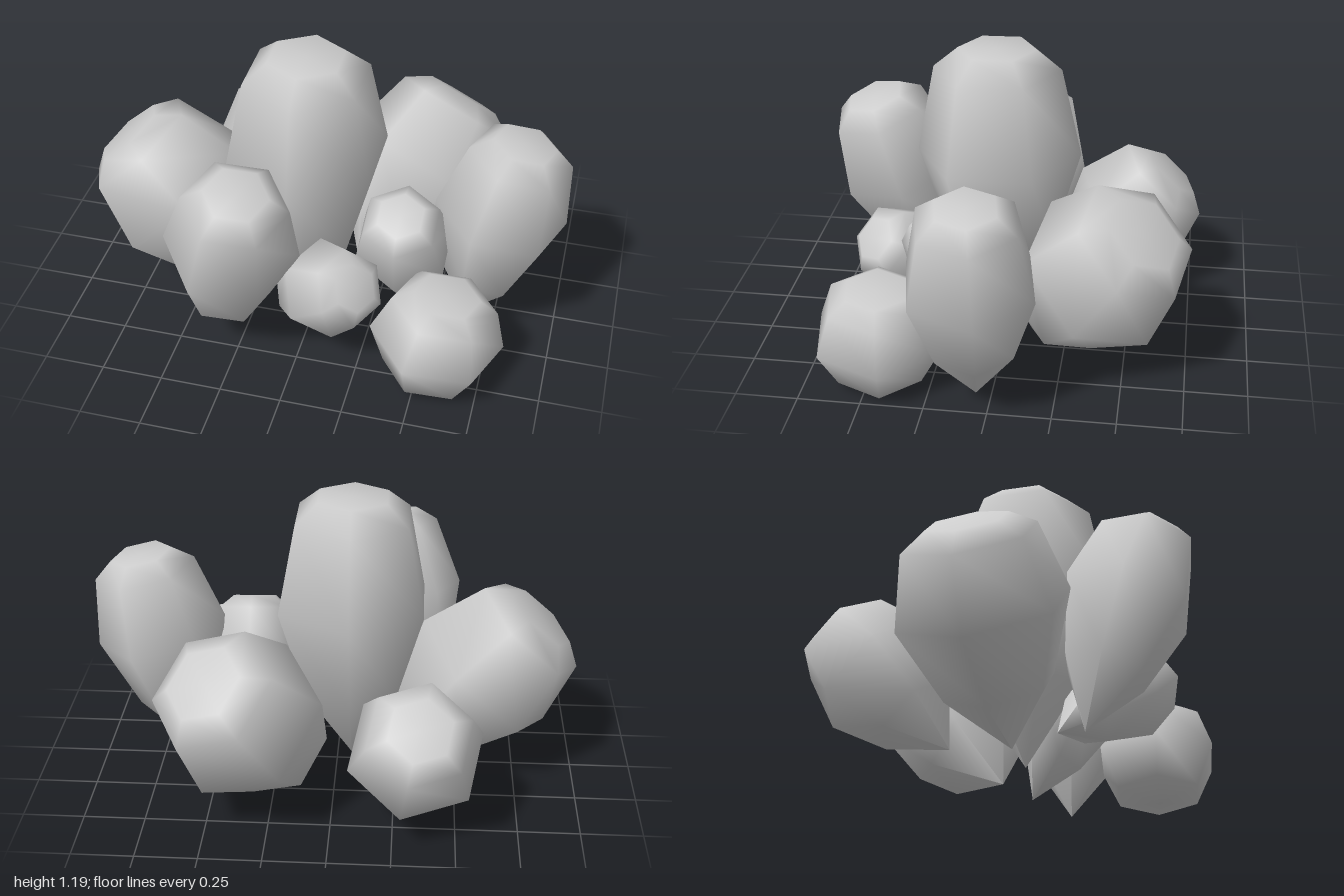
import * as THREE from 'three';

// Bulb profiles: [share of max radius, share of length], foot to flat tip
const POINTED = [[0, 0], [0.64, 0.28], [1, 0.62], [0.77, 0.93], [0.47, 1], [0, 1]];
const SQUAT = [[0, 0], [0.7, 0.08], [1, 0.48], [0.78, 0.88], [0.49, 1], [0, 1]];

// Each lobe: foot point, centre of the tip, largest radius, roll in degrees
const LOBES = [
  { name: 'centreLobe', foot: [-0.06, 0, 0.05], tip: [-0.06, 1.19, 0.07], radius: 0.34, roll: 0 },
  { name: 'rightLobe', foot: [-0.25, 0.01, 0.05], tip: [-0.84, 0.68, 0.05], radius: 0.345, roll: 30 },
  { name: 'frontRightLobe', foot: [-0.35, 0.01, 0.36], tip: [-0.19, 0.9, 0.61], radius: 0.27, roll: -21 },
  { name: 'leftLobe', foot: [0.63, 0.01, 0.06], tip: [0.81, 0.92, 0.06], radius: 0.27, roll: -19 },
  { name: 'frontLeftLobe', foot: [0.54, 0.01, 0.46], tip: [0.6, 0.43, 0.45], radius: 0.27, roll: -20, profile: SQUAT },
  { name: 'smallFrontLobe', foot: [-0.14, 0.1, 0.2], tip: [0.25, 0.46, 0.53], radius: 0.2, roll: 34 },
  { name: 'smallLeftLobe', foot: [0.36, 0.01, -0.04], tip: [0.37, 0.64, 0.27], radius: 0.21, roll: 0 },
  { name: 'backLeftLobe', foot: [0.13, 0.01, -0.1], tip: [0.475, 0.68, -0.567], radius: 0.34, roll: 23.6 },
  { name: 'backRightLobe', foot: [-0.31, 0.01, -0.18], tip: [-0.35, 0.55, -0.65], radius: 0.28, roll: -10 },
];

const UP = new THREE.Vector3(0, 1, 0);

// Six-sided smooth bulb, leaning from its foot towards its tip
function makeLobe({ name, foot, tip, radius, roll, profile = POINTED }, material) {
  const start = new THREE.Vector3(...foot);
  const axis = new THREE.Vector3(...tip).sub(start);
  const length = axis.length();
  const points = profile.map(([r, t]) => new THREE.Vector2(r * radius, t * length));
  const geometry = new THREE.LatheGeometry(points, 6);
  geometry.rotateY(THREE.MathUtils.degToRad(roll));
  const lobe = new THREE.Mesh(geometry, material);
  lobe.name = name;
  lobe.position.copy(start);
  lobe.quaternion.setFromUnitVectors(UP, axis.normalize());
  return lobe;
}

export function createModel() {
  const model = new THREE.Group();
  model.name = 'succulentCluster';
  const material = new THREE.MeshStandardMaterial({ color: 0xcccccc });
  for (const lobe of LOBES) model.add(makeLobe(lobe, material));
  return model;
}
